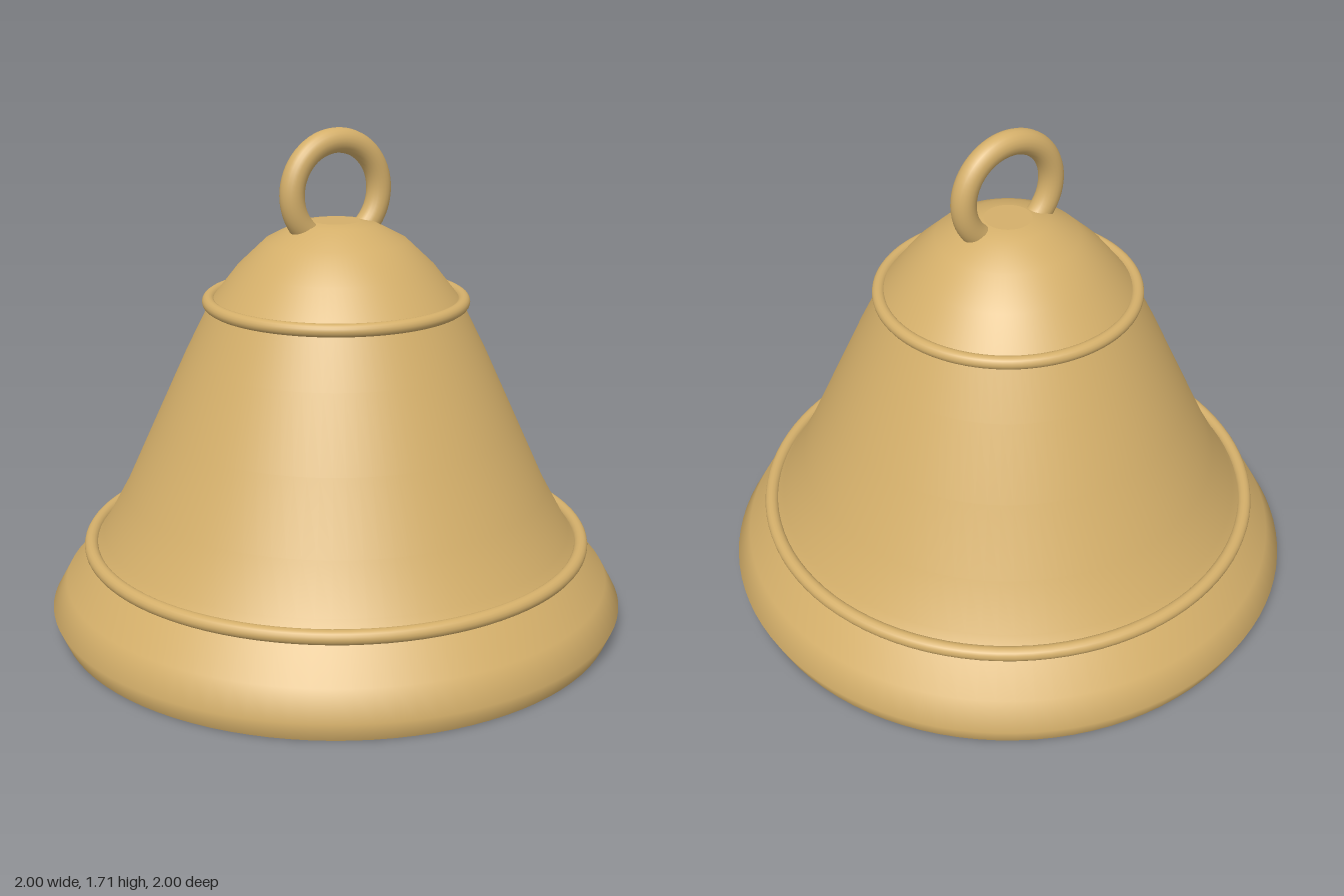
import * as THREE from 'three';

export function createModel() {
  const model = new THREE.Group();
  model.name = 'bell';
  const brass = new THREE.MeshStandardMaterial({ color: 0xd4af6a });
  brass.name = 'brass';

  const add = (name, geometry, y = 0) => {
    const mesh = new THREE.Mesh(geometry, brass);
    mesh.name = name;
    mesh.position.y = y;
    model.add(mesh);
    return mesh;
  };
  const lathe = (points) =>
    new THREE.LatheGeometry(points.map(([r, y]) => new THREE.Vector2(r, y)), 96);

  // Flared body, from the lip to the shoulder
  add('body', lathe([
    [0.97, 0], [1, 0.07], [0.95, 0.16], [0.86, 0.265], [0.815, 0.325],
    [0.73, 0.48], [0.625, 0.71], [0.515, 0.95], [0.425, 1.13],
  ]));

  // Rounded crown
  add('crown', lathe([
    [0.425, 1.13], [0.335, 1.245], [0.24, 1.335], [0.135, 1.39], [0.08, 1.4],
  ]));

  // Flat closing discs
  add('crownCap', new THREE.CircleGeometry(0.08, 96), 1.4).rotation.x = -Math.PI / 2;
  add('base', new THREE.CircleGeometry(0.97, 96)).rotation.x = Math.PI / 2;

  // Raised bands: radius, tube, height
  for (const [name, r, tube, y] of [
    ['lowerBand', 0.859, 0.024, 0.286],
    ['upperBand', 0.433, 0.022, 1.13],
  ]) {
    add(name, new THREE.TorusGeometry(r, tube, 16, 96), y).rotation.x = Math.PI / 2;
  }

  // Hanging ring, sunk into the crown
  add('hangingRing', new THREE.TorusGeometry(0.172, 0.042, 20, 64), 1.496);

  return model;
}
